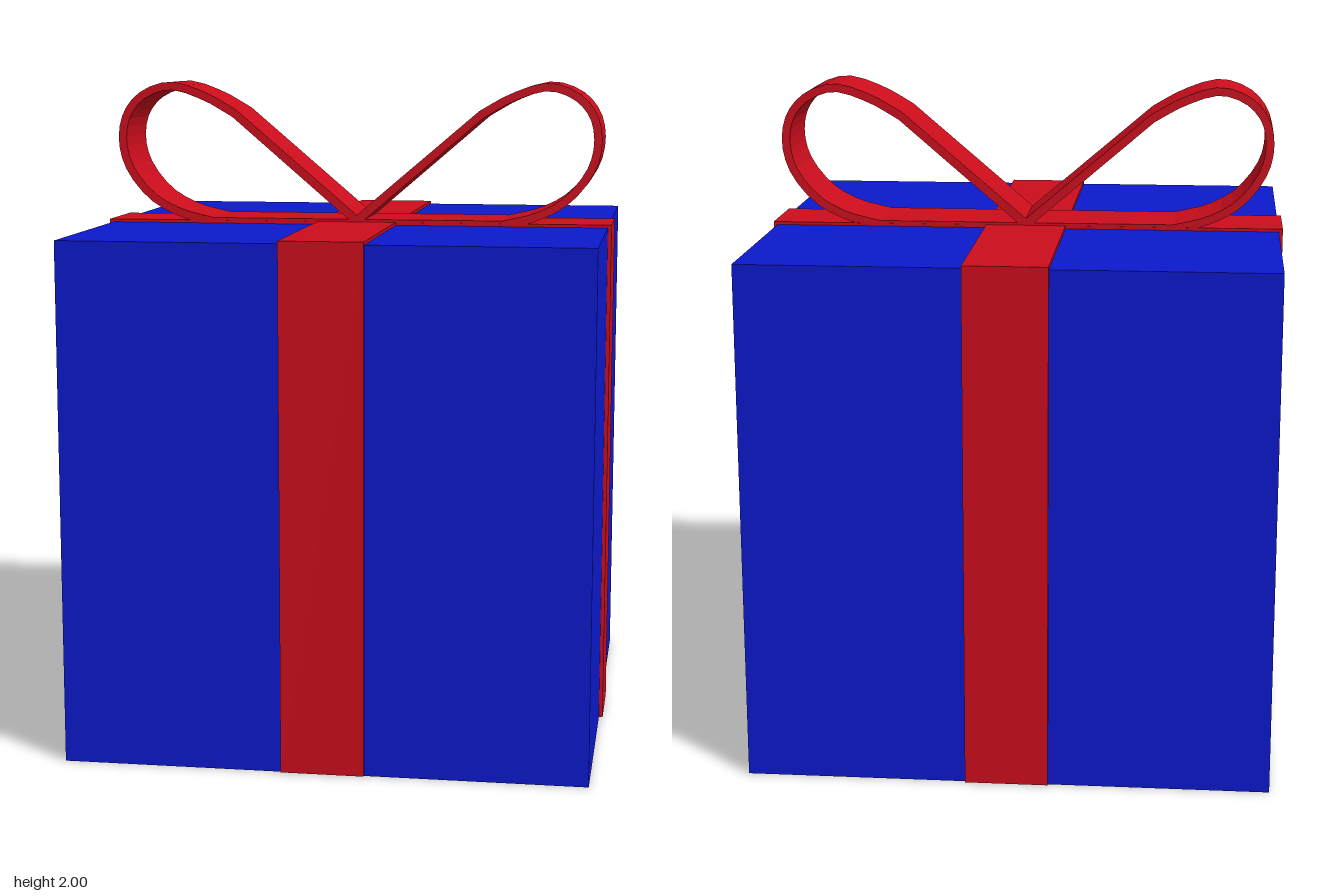
import * as THREE from 'three';

const BLUE = new THREE.MeshStandardMaterial({ color: 0x0c18cc, flatShading: true });
const RED = new THREE.MeshStandardMaterial({ color: 0xcc0d1c, flatShading: true });
const RIBBON_W = 0.246;

function block(name, material, w, h, d, y0) {
  const mesh = new THREE.Mesh(new THREE.BoxGeometry(w, h, d), material);
  mesh.name = name;
  mesh.position.y = y0 + h / 2;
  return mesh;
}

// One teardrop loop of the bow: a closed outline with an inset hole, extruded to the ribbon width
function bowLoopGeometry() {
  const thickness = 0.025;
  const curve = new THREE.CatmullRomCurve3([
    [0.46, 1.55], [0.566, 1.577], [0.66, 1.63], [0.735, 1.725], [0.757, 1.815],
    [0.741, 1.9], [0.688, 1.963], [0.593, 1.996], [0.476, 1.963], [0.38, 1.91],
  ].map(([x, y]) => new THREE.Vector3(x, y, 0)), false, 'centripetal');

  const outer = [new THREE.Vector2(0, 1.55)];
  const inner = [new THREE.Vector2(0.026, 1.574)];
  const steps = 24;
  for (let i = 0; i <= steps; i++) {
    const p = curve.getPoint(i / steps);
    const t = curve.getTangent(i / steps);
    outer.push(new THREE.Vector2(p.x, p.y));
    inner.push(new THREE.Vector2(p.x - t.y * thickness, p.y + t.x * thickness));
  }
  outer.push(new THREE.Vector2(0, 1.587));

  const shape = new THREE.Shape(outer);
  shape.holes.push(new THREE.Path(inner));
  const depth = RIBBON_W - 0.002;
  return new THREE.ExtrudeGeometry(shape, { depth, bevelEnabled: false }).translate(0, 0, -depth / 2);
}

export function createModel() {
  const group = new THREE.Group();
  group.name = 'giftBox';

  group.add(block('box', BLUE, 1.556, 1.557, 1.556, 0));

  // Crossed ribbons, slightly proud of the sides and top
  group.add(block('ribbonAcross', RED, 1.58, 1.564, RIBBON_W, 0.002));
  group.add(block('ribbonFrontToBack', RED, RIBBON_W, 1.564, 1.58, 0.002));

  // Bow: the same loop turned half round for the other side
  const loopGeometry = bowLoopGeometry();
  const bow = new THREE.Group();
  bow.name = 'bow';
  ['leftLoop', 'rightLoop'].forEach((name, i) => {
    const loop = new THREE.Mesh(loopGeometry, RED);
    loop.name = name;
    loop.rotation.y = i * Math.PI;
    bow.add(loop);
  });
  group.add(bow);

  return group;
}
